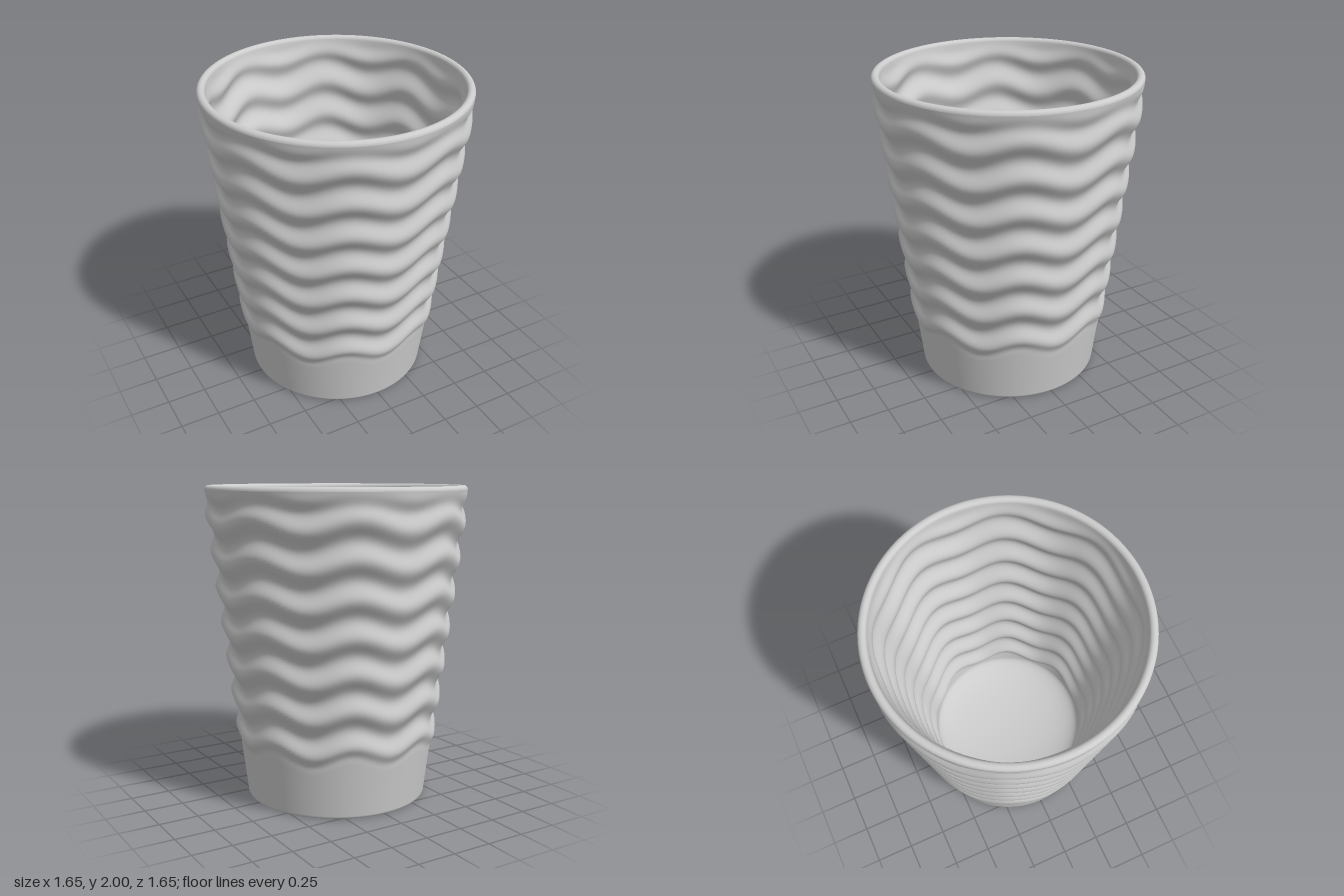
import * as THREE from 'three';

const AROUND = 144;
const PERIOD = 0.225;   // height of one ripple
const DEPTH = 0.019;    // ripple amplitude
const smooth = THREE.MathUtils.smoothstep;

// Eight-fold up-and-down swing of the ripples around the cup
const swing = (a) => 0.035 * (1 - Math.cos(8 * a));

// Wavy radius offset at height y and angle a, fading out towards both ends
function ripple(y, a, low0, low1) {
  const u = y - swing(a);
  const fade = smooth(u, low0, low1) * (1 - smooth(y, 1.84, 1.975));
  return DEPTH * fade * Math.cos((2 * Math.PI * (u - 1.75)) / PERIOD);
}

const outerRadius = (y) => 0.583 + 0.122 * y;
const innerRadius = (y) => 0.476 + 0.15 * y;

// Sweeps a profile (t, angle) -> [radius, height] around the y axis
function sweep(name, material, rows, profile) {
  const pos = [], index = [];
  for (let i = 0; i <= rows; i++) {
    for (let j = 0; j < AROUND; j++) {
      const a = (j / AROUND) * Math.PI * 2;
      const [r, y] = profile(i / rows, a);
      pos.push(r * Math.cos(a), y, r * Math.sin(a));
      if (i === rows) continue;
      const k = (j + 1) % AROUND;
      const p = i * AROUND + j, q = i * AROUND + k;
      index.push(p, p + AROUND, q, q, p + AROUND, q + AROUND);
    }
  }
  const geometry = new THREE.BufferGeometry();
  geometry.setAttribute('position', new THREE.Float32BufferAttribute(pos, 3));
  geometry.setIndex(index);
  geometry.computeVertexNormals();
  const mesh = new THREE.Mesh(geometry, material);
  mesh.name = name;
  return mesh;
}

export function createModel() {
  const group = new THREE.Group();
  group.name = 'rippledCup';
  const clay = new THREE.MeshStandardMaterial({ color: 0xcccccc });
  clay.name = 'lightGrey';

  // Flat underside
  const edge = 0.02, foot = outerRadius(edge);
  group.add(sweep('underside', clay, 4, (t) => [0.0005 + (foot - edge - 0.0005) * t, 0]));

  // Rounded foot edge
  group.add(sweep('footEdge', clay, 6, (t) => {
    const b = (t * Math.PI) / 2;
    return [foot - edge + edge * Math.sin(b), edge - edge * Math.cos(b)];
  }));

  // Tapered outer wall, smooth at the foot and rippled above
  const top = 1.975;
  group.add(sweep('outerWall', clay, 150, (t, a) => {
    const y = edge + (top - edge) * t;
    return [outerRadius(y) + ripple(y, a, 0.3, 0.4), y];
  }));

  // Rounded rim joining the two walls
  const ro = outerRadius(top), ri = innerRadius(top);
  group.add(sweep('rim', clay, 12, (t) => {
    const b = t * Math.PI;
    return [(ro + ri) / 2 + ((ro - ri) / 2) * Math.cos(b), top + 0.025 * Math.sin(b)];
  }));

  // Rippled inner wall
  const bowl = 0.24;
  group.add(sweep('innerWall', clay, 140, (t, a) => {
    const y = top + (bowl - top) * t;
    return [innerRadius(y) + ripple(y, a, bowl, 0.3), y];
  }));

  // Shallow bowl-shaped floor
  group.add(sweep('floor', clay, 20, (t) => {
    const b = (t * Math.PI) / 2;
    return [Math.max(innerRadius(bowl) * Math.cos(b), 0.0005), bowl - 0.14 * Math.sin(b)];
  }));

  return group;
}
